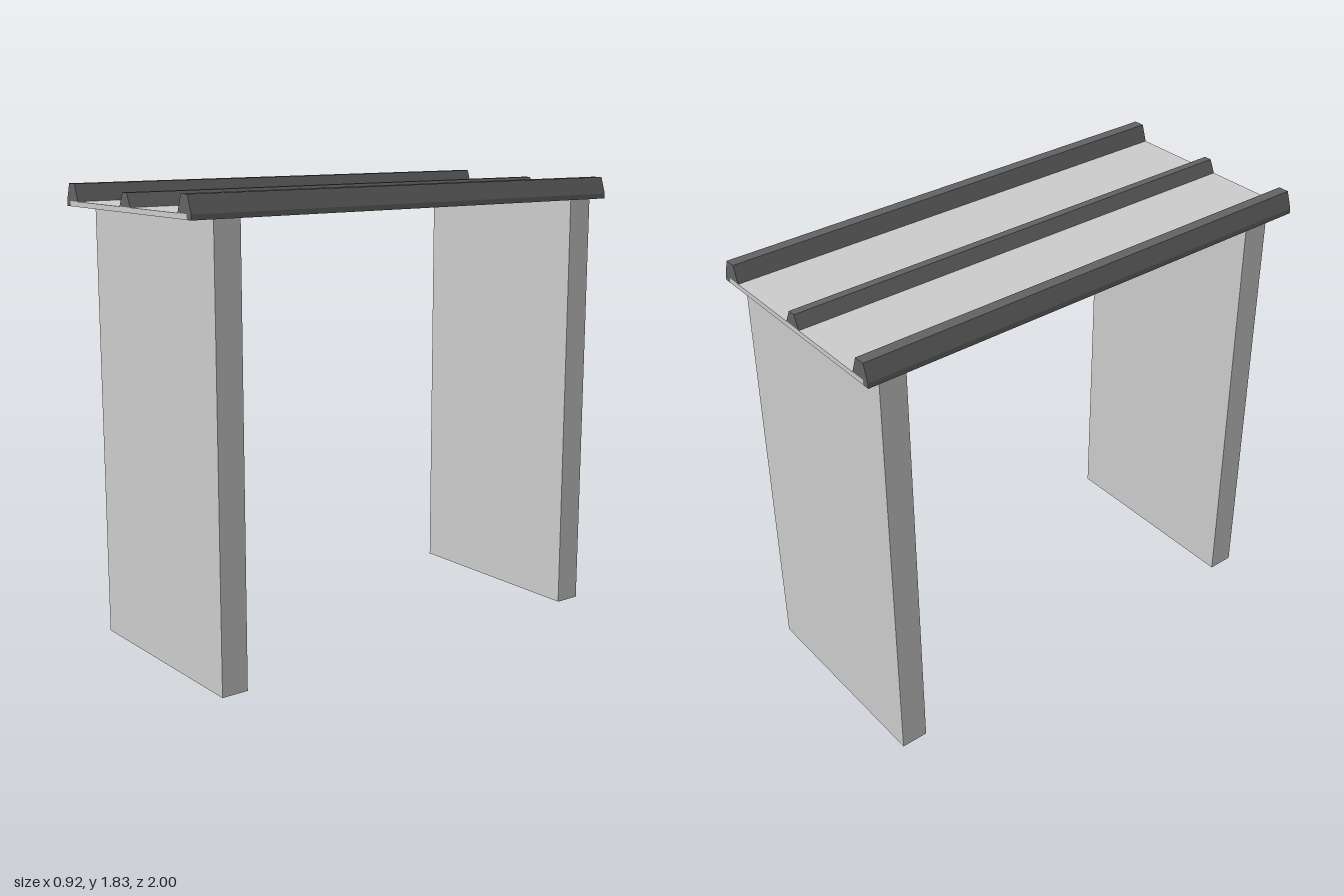
import * as THREE from 'three';

const LENGTH = 2;
const DECK_BOTTOM = 1.743;
const DECK_TOP = 1.763;
const DECK_HALF = 0.433;

export function createModel() {
  const group = new THREE.Group();
  const grey = new THREE.MeshStandardMaterial({ color: 0xcccccc, flatShading: true });
  const dark = new THREE.MeshStandardMaterial({ color: 0x636363, flatShading: true });

  const addBox = (name, w, h, d, y, z) => {
    const mesh = new THREE.Mesh(new THREE.BoxGeometry(w, h, d), grey);
    mesh.name = name;
    mesh.position.set(0, y, z);
    group.add(mesh);
  };

  // Extrudes an x/y profile along the full length of the deck
  const addBeam = (name, points) => {
    const shape = new THREE.Shape(points.map(([x, y]) => new THREE.Vector2(x, y)));
    const geometry = new THREE.ExtrudeGeometry(shape, { depth: LENGTH, bevelEnabled: false });
    geometry.translate(0, 0, -LENGTH / 2);
    const mesh = new THREE.Mesh(geometry, dark);
    mesh.name = name;
    group.add(mesh);
  };

  // Deck slab and the two supporting walls
  addBox('deck', DECK_HALF * 2, DECK_TOP - DECK_BOTTOM, LENGTH, (DECK_TOP + DECK_BOTTOM) / 2, 0);
  addBox('frontWall', DECK_HALF * 2, DECK_BOTTOM, 0.11, DECK_BOTTOM / 2, 0.84);
  addBox('backWall', DECK_HALF * 2, DECK_BOTTOM, 0.11, DECK_BOTTOM / 2, -0.885);

  // Edge kerbs: tapered tops with a lip wrapping the side of the deck
  for (const [name, s] of [['leftKerb', 1], ['rightKerb', -1]]) {
    addBeam(name, [
      [s * DECK_HALF, DECK_BOTTOM], [s * 0.462, DECK_BOTTOM], [s * 0.462, DECK_TOP],
      [s * 0.44, 1.83], [s * 0.395, 1.83], [s * 0.372, DECK_TOP], [s * DECK_HALF, DECK_TOP],
    ]);
  }

  // Smaller tapered divider along the middle
  addBeam('centreDivider', [
    [-0.04, DECK_TOP], [0.04, DECK_TOP], [0.016, 1.815], [-0.016, 1.815],
  ]);

  return group;
}
